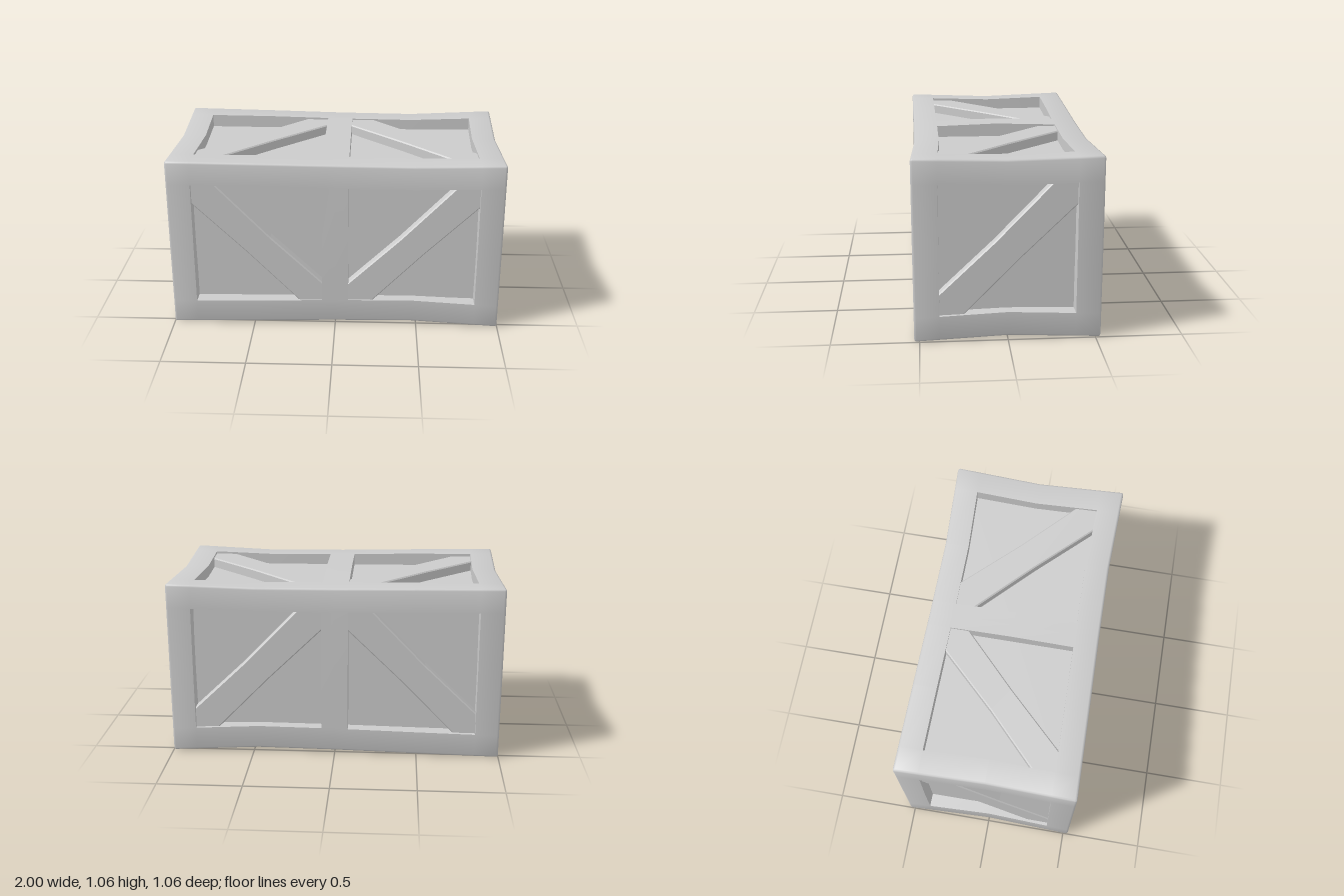
import * as THREE from 'three';
import { toCreasedNormals } from 'three/addons/utils/BufferGeometryUtils.js';

const HALF = [1, 0.5315, 0.5315]; // half size of the crate
const BAR = 0.145;                // width of the frame bars
const POST = 0.08;                // half width of the middle posts
const RECESS = 0.085;             // depth of the panels below the frame
const R = 0.014;                  // rounding of the outer edges
const material = new THREE.MeshStandardMaterial({ color: 0xcccccc });

// Piecewise linear curve through [t, value] pairs
function curve(points, t) {
  for (let i = 1; i < points.length; i++) {
    const [a, va] = points[i - 1], [b, vb] = points[i];
    if (t <= b) return va + (vb - va) * Math.max(0, (t - a) / (b - a));
  }
  return points[points.length - 1][1];
}

// How far the worn rails sag toward the crate's middle
const longSag = x => curve([[-1, 0], [-0.47, 0.008], [0, 0.016], [0.47, 0.02], [1, 0]], x);
const endSag = z => curve([[-0.53, 0], [0, 0.017], [0.53, 0]], z);

// Rounds the outer edges, then pinches the rails
function shapePoint(p) {
  const q = p.map((v, i) => THREE.MathUtils.clamp(v, R - HALF[i], HALF[i] - R));
  const d = p.map((v, i) => v - q[i]);
  const len = Math.hypot(...d);
  const [x, y, z] = len > R ? q.map((v, i) => v + d[i] * R / len) : p;
  const near = (v, i) => Math.min(1, Math.abs(v) / (HALF[i] - BAR));
  const atEnd = Math.abs(x) > 0.8 ? 1 : 0;
  const sx = longSag(x), sz = endSag(z) * atEnd;
  const edgeZ = 0.3 + 0.7 * near(z, 2), edgeY = 0.3 + 0.7 * near(y, 1);
  return [
    x - Math.sign(x) * sz * near(y, 1),
    y - Math.sign(y) * (sx * edgeZ + sz * near(y, 1)),
    z - Math.sign(z) * sx * edgeY,
  ];
}

// One closed surface around all bars, made from a coarse grid of cells
function frameGeometry() {
  const side = h => [-h, R - h, BAR - h, 0, h - BAR, h - R, h];
  const grid = [
    [-1, R - 1, BAR - 1, -0.47, -POST, 0, POST, 0.47, 1 - BAR, 1 - R, 1],
    side(HALF[1]), side(HALF[2]),
  ];
  const middle = (axis, i) => (grid[axis][i] + grid[axis][i + 1]) / 2;
  const solid = c => {
    if (c.some((i, a) => i < 0 || i >= grid[a].length - 1)) return false;
    const m = c.map((i, a) => middle(a, i));
    const outer = m.map((v, a) => Math.abs(v) > HALF[a] - BAR);
    const bar = [outer[0] || Math.abs(m[0]) < POST, outer[1], outer[2]];
    return bar.filter(Boolean).length >= 2;
  };
  const positions = [];
  for (let i = 0; i < grid[0].length - 1; i++)
    for (let j = 0; j < grid[1].length - 1; j++)
      for (let k = 0; k < grid[2].length - 1; k++) {
        const cell = [i, j, k];
        if (!solid(cell)) continue;
        for (let a = 0; a < 3; a++) for (const s of [0, 1]) {
          const next = [...cell];
          next[a] += s ? 1 : -1;
          if (solid(next)) continue;
          const b = (a + 1) % 3, c = (a + 2) % 3;
          const corner = (u, v) => {
            const p = [0, 0, 0];
            p[a] = grid[a][cell[a] + s];
            p[b] = grid[b][cell[b] + u];
            p[c] = grid[c][cell[c] + v];
            return shapePoint(p);
          };
          const quad = [corner(0, 0), corner(1, 0), corner(1, 1), corner(0, 1)];
          if (!s) quad.reverse();
          for (const n of [0, 1, 2, 0, 2, 3]) positions.push(...quad[n]);
        }
      }
  const g = new THREE.BufferGeometry();
  g.setAttribute('position', new THREE.Float32BufferAttribute(positions, 3));
  return toCreasedNormals(g, 0.9);
}

// Diagonal plank, narrower in the middle; its ends run into the frame
function braceGeometry(mirror) {
  const s = HALF[1] - BAR + 0.03, w = 0.135, bevel = 0.007;
  const outline = [
    [-s, -s], [w - s, -s], [0.07, -0.055], [s, s - w],
    [s, s], [s - w, s], [-0.075, 0.045], [-s, w - s],
  ].map(([x, y]) => new THREE.Vector2(x * mirror, y));
  return new THREE.ExtrudeGeometry(new THREE.Shape(outline), {
    depth: 0.06 - bevel, bevelEnabled: true, bevelSegments: 1,
    bevelSize: bevel, bevelThickness: bevel, bevelOffset: -bevel,
  });
}

export function createModel() {
  const model = new THREE.Group();
  model.name = 'crate';
  const body = new THREE.Group();
  body.name = 'crateBody';
  body.position.y = HALF[1];
  model.add(body);

  const add = (parent, name, geometry) => {
    const mesh = new THREE.Mesh(geometry, material);
    mesh.name = name;
    parent.add(mesh);
    return mesh;
  };
  add(body, 'frame', frameGeometry());
  add(body, 'panels', new THREE.BoxGeometry(...HALF.map(h => 2 * (h - RECESS))));

  // Braces: name, turn about x, turn about y, distance of the face, [offset, mirror] of each brace
  const braces = { 1: braceGeometry(1), '-1': braceGeometry(-1) };
  const bay = (1 - BAR + POST) / 2;
  const peak = [[-bay, 1], [bay, -1]], valley = [[-bay, -1], [bay, 1]];
  const q = Math.PI / 2;
  const faces = [
    ['front', 0, 0, HALF[2], valley],
    ['back', 0, 2 * q, HALF[2], peak],
    ['top', -q, 0, HALF[1], peak],
    ['bottom', q, 0, HALF[1], peak],
    ['leftEnd', 0, q, HALF[0], [[0, 1]]],
    ['rightEnd', 0, -q, HALF[0], [[0, -1]]],
  ];
  for (const [name, rx, ry, distance, list] of faces) {
    const face = new THREE.Group();
    face.name = name + 'Braces';
    face.rotation.set(rx, ry, 0);
    for (const [offset, mirror] of list)
      add(face, name + 'Brace', braces[mirror]).position.set(offset, 0, distance - RECESS);
    body.add(face);
  }
  return model;
}
